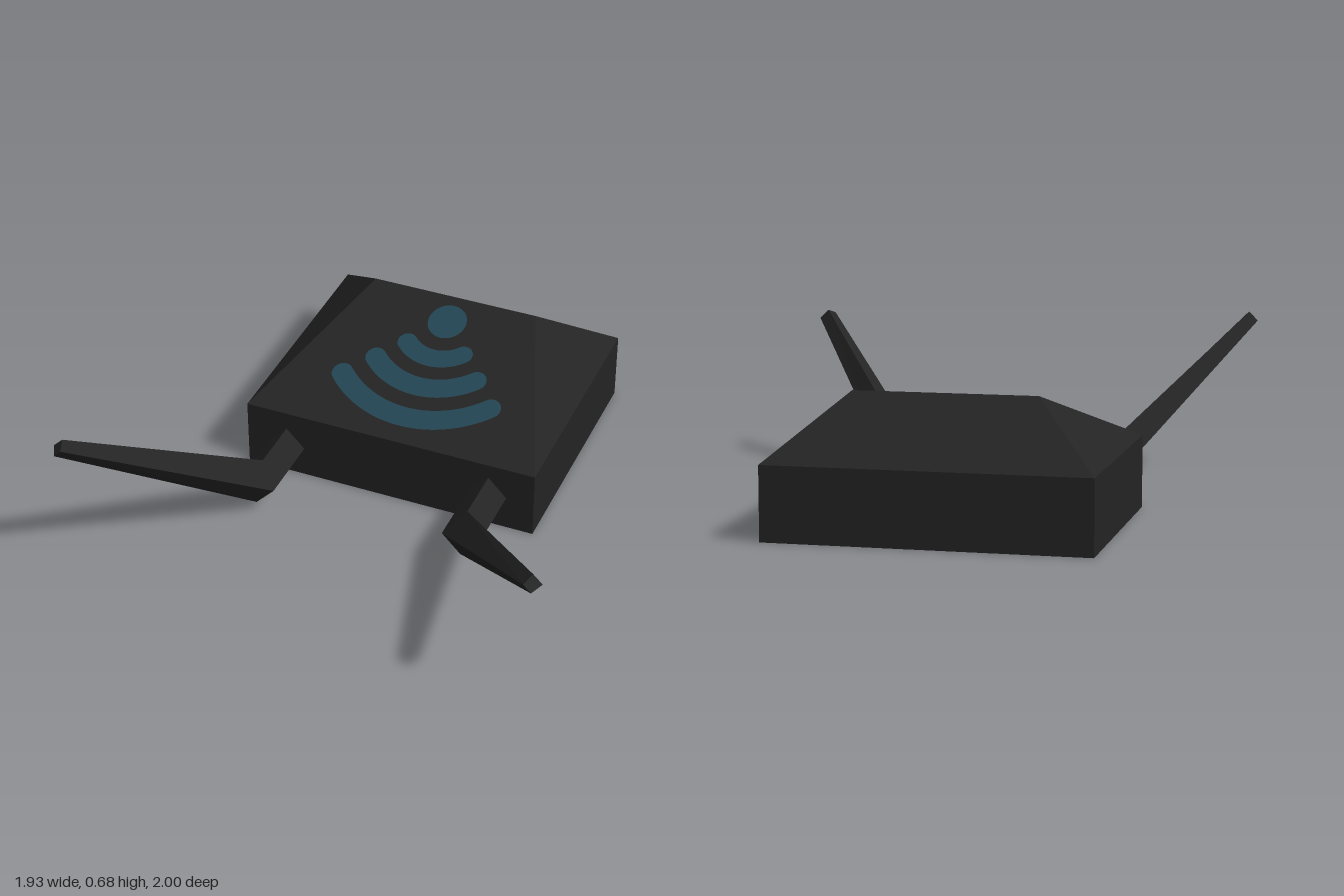
import * as THREE from 'three';
import { ConvexGeometry } from 'three/addons/geometries/ConvexGeometry.js';

const V = (x, y, z) => new THREE.Vector3(x, y, z);

// Height of the sloping front panel of the lid at depth z
const roofY = z => 0.285 + (0.015 - z) * (0.24 / 0.705);

// Closed solid through cross-sections of equal corner count, with end caps
function loft(sections) {
  const pos = [];
  const n = sections[0].length;
  const tri = (...pts) => pts.forEach(p => pos.push(p.x, p.y, p.z));
  for (let s = 0; s < sections.length - 1; s++) {
    const a = sections[s], b = sections[s + 1];
    for (let i = 0; i < n; i++) {
      const j = (i + 1) % n;
      tri(a[i], a[j], b[j]);
      tri(a[i], b[j], b[i]);
    }
  }
  const first = sections[0], last = sections[sections.length - 1];
  for (let i = 1; i < n - 1; i++) {
    tri(first[0], first[i + 1], first[i]);
    tri(last[0], last[i], last[i + 1]);
  }
  const g = new THREE.BufferGeometry();
  g.setAttribute('position', new THREE.Float32BufferAttribute(pos, 3));
  g.computeVertexNormals();
  return g;
}

// Square stub leaving the case, a mitred bend, then a tapering arm
function antennaGeometry(side, base, tip) {
  const corners = [[-0.077, 0], [0, -0.08], [0.077, 0], [0, 0.08]];
  const ring = zs => corners.map(([x, y], i) => V(side * (base.x + x), base.y + y, zs[i]));
  const end = [[-0.03, 0.005, 1], [0, -0.025, 1], [0.025, -0.016, 0.95], [-0.012, 0.02, 0.95]]
    .map(([x, y, z]) => V(side * (tip.x + x), tip.y + y, z));
  const sections = [ring([-0.02, -0.02, -0.02, -0.02]), ring([0.31, 0.31, 0.24, 0.24]), end];
  if (side < 0) sections.forEach(s => s.reverse());
  return loft(sections);
}

// Curved band with rounded ends, opening towards the back
function bandShape(radius, half, thick) {
  const mid = -Math.PI / 2, a0 = mid - half, a1 = mid + half, cy = 0.565, t = thick / 2;
  const s = new THREE.Shape();
  s.absarc(0, cy, radius + t, a0, a1, false);
  s.absarc(Math.cos(a1) * radius, cy + Math.sin(a1) * radius, t, a1, a1 + Math.PI, false);
  s.absarc(0, cy, radius - t, a1, a0, true);
  s.absarc(Math.cos(a0) * radius, cy + Math.sin(a0) * radius, t, a0 + Math.PI, a0 + 2 * Math.PI, false);
  return s;
}

export function createModel() {
  const model = new THREE.Group();
  model.name = 'router';
  const casing = new THREE.MeshStandardMaterial({ color: 0x242424 });
  casing.name = 'charcoal plastic';
  const blue = new THREE.MeshStandardMaterial({ color: 0x234553 });
  blue.name = 'dark blue paint';

  const add = (name, geometry, material, parent = model) => {
    const mesh = new THREE.Mesh(geometry, material);
    mesh.name = name;
    parent.add(mesh);
    return mesh;
  };

  // Case: box with a hipped lid peaking near the back
  const points = [V(-0.37, 0.525, -0.69), V(0.335, 0.525, -0.69)];
  for (const x of [-0.635, 0.6])
    for (const y of [0, 0.285])
      for (const z of [-1, 0.015]) points.push(V(x, y, z));
  add('case', new ConvexGeometry(points), casing);

  // Antennas lean outwards and forwards; the two differ slightly
  add('leftAntenna', antennaGeometry(1, V(0.408, 0.145, 0), V(0.934, 0.625, 0)), casing);
  add('rightAntenna', antennaGeometry(-1, V(0.463, 0.13, 0), V(0.942, 0.66, 0)), casing);

  // Signal symbol painted on the sloping lid
  const symbol = new THREE.Group();
  symbol.name = 'signalSymbol';
  model.add(symbol);
  const paint = (name, shape) => {
    const g = new THREE.ShapeGeometry(shape, 24);
    g.rotateX(-Math.PI / 2);
    const p = g.attributes.position;
    for (let i = 0; i < p.count; i++) p.setY(i, roofY(p.getZ(i)) + 0.004);
    g.computeVertexNormals();
    add(name, g, blue, symbol);
  };
  paint('signalDot', new THREE.Shape().absarc(0, 0.565, 0.08, 0, Math.PI * 2, false));
  [[0.18, 0.74, 0.08], [0.32, 0.75, 0.085], [0.467, 0.755, 0.087]].forEach(([r, half, thick], i) =>
    paint('signalBand' + (i + 1), bandShape(r, half, thick)));

  return model;
}
